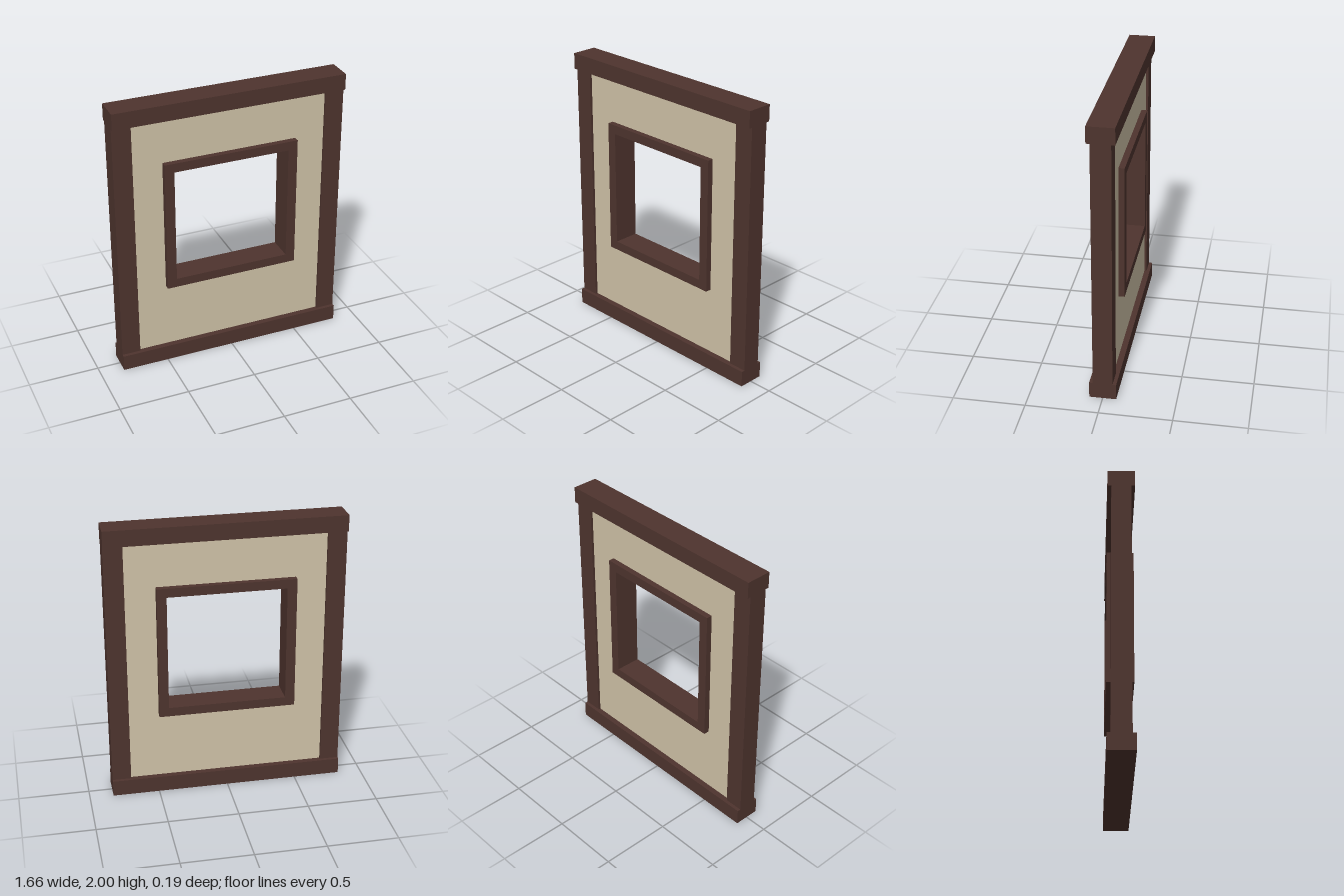
import * as THREE from 'three';

export function createModel() {
  const group = new THREE.Group();
  const wood = new THREE.MeshStandardMaterial({ color: 0x4e342e });
  wood.name = 'dark wood';
  const plaster = new THREE.MeshStandardMaterial({ color: 0xd0c3a8 });
  plaster.name = 'beige plaster';

  const add = (name, geometry, material, x, y) => {
    const mesh = new THREE.Mesh(geometry, material);
    mesh.name = name;
    mesh.position.set(x, y, 0);
    group.add(mesh);
  };

  // Rectangular slab with a rectangular opening, centred in z
  const ring = (w, h, holeW, holeH, depth, holeY = 0) => {
    const shape = new THREE.Shape([[-1, -1], [1, -1], [1, 1], [-1, 1]]
      .map(([x, y]) => new THREE.Vector2(x * w / 2, y * h / 2)));
    shape.holes.push(new THREE.Path([[-1, -1], [-1, 1], [1, 1], [1, -1]]
      .map(([x, y]) => new THREE.Vector2(x * holeW / 2, holeY + y * holeH / 2))));
    return new THREE.ExtrudeGeometry(shape, { depth, bevelEnabled: false })
      .translate(0, 0, -depth / 2);
  };

  // Top and bottom rails
  const railH = 0.115;
  add('bottomRail', new THREE.BoxGeometry(1.664, railH, 0.185), wood, 0, railH / 2);
  add('topRail', new THREE.BoxGeometry(1.664, railH, 0.185), wood, 0, 2 - railH / 2);

  // Side posts between the rails
  for (const side of [-1, 1]) {
    add(side > 0 ? 'leftPost' : 'rightPost',
      new THREE.BoxGeometry(0.134, 2 - 2 * railH, 0.135), wood, side * 0.765, 1);
  }

  // Recessed wall panel, cut out behind the window frame
  const windowY = 1.085;
  add('wallPanel', ring(1.396, 2 - 2 * railH, 0.9, 0.9, 0.102, windowY - 1), plaster, 0, 1);

  // Window frame standing proud on both faces
  add('windowFrame', ring(0.97, 0.966, 0.834, 0.836, 0.185), wood, 0, windowY);

  return group;
}
